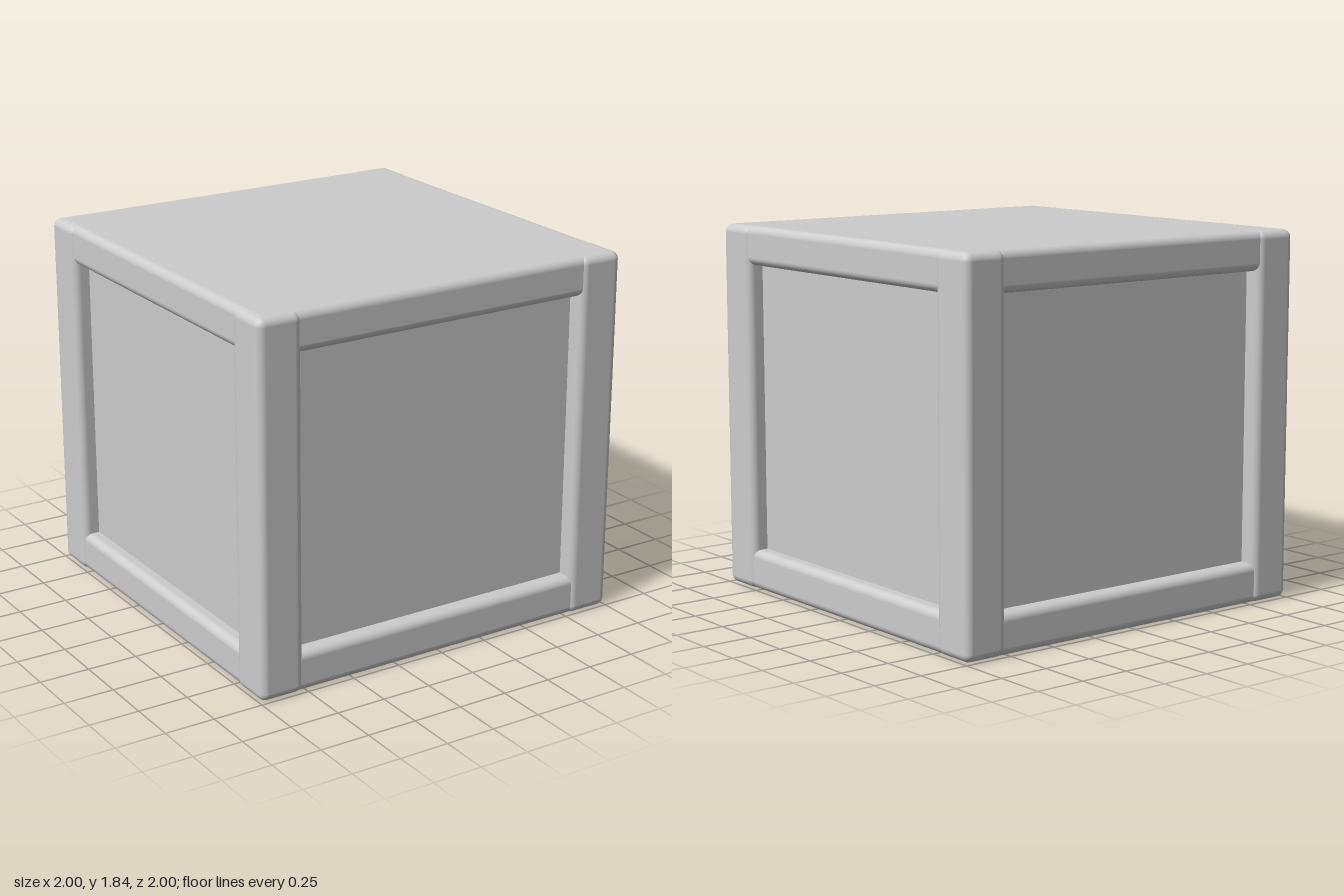
import * as THREE from 'three';
import { RoundedBoxGeometry } from 'three/addons/geometries/RoundedBoxGeometry.js';

const HEIGHT = 1.835;
const ROUND = 0.04;

export function createModel() {
  const crate = new THREE.Group();
  crate.name = 'crate';
  const grey = new THREE.MeshStandardMaterial({ color: 0xcccccc });
  grey.name = 'plain grey';

  function add(name, geometry, x, y, z) {
    const mesh = new THREE.Mesh(geometry, grey);
    mesh.name = name;
    mesh.position.set(x, y, z);
    crate.add(mesh);
  }

  // Recessed side panels, closed into one core
  add('sidePanels', new THREE.BoxGeometry(1.83, HEIGHT - 0.2, 1.83), 0, HEIGHT / 2, 0);

  // Lid and base, whose edges form the horizontal rails
  add('lid', new RoundedBoxGeometry(1.98, 0.195, 1.98, 5, ROUND), 0, HEIGHT - 0.0975, 0);
  add('base', new RoundedBoxGeometry(1.98, 0.2, 1.98, 5, ROUND), 0, 0.1, 0);

  // Corner posts, slightly proud of the rails
  const post = new RoundedBoxGeometry(0.23, HEIGHT - 0.004, 0.23, 5, ROUND);
  for (const x of [-1, 1]) {
    for (const z of [-1, 1]) {
      const name = (z > 0 ? 'front' : 'back') + (x > 0 ? 'Left' : 'Right') + 'Post';
      add(name, post, x * 0.885, HEIGHT / 2, z * 0.885);
    }
  }
  return crate;
}
